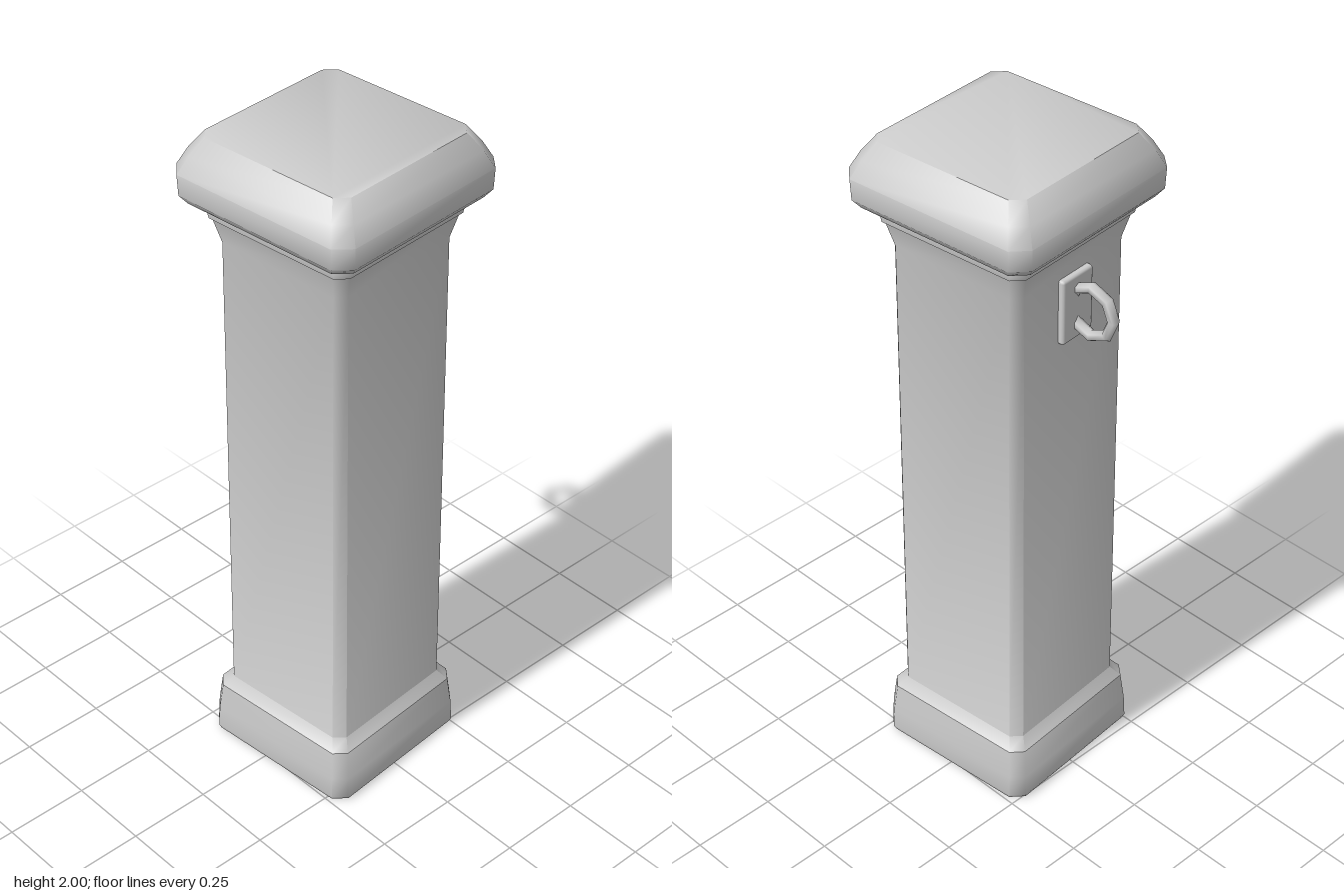
import * as THREE from 'three';
import { toCreasedNormals } from 'three/addons/utils/BufferGeometryUtils.js';
import { RoundedBoxGeometry } from 'three/addons/geometries/RoundedBoxGeometry.js';

// Square outline with cut corners: half width a, corner cut c
function ring([y, a, c]) {
  const b = a - c;
  return [[b, a], [a, b], [a, -b], [b, -a], [-b, -a], [-a, -b], [-a, b], [-b, a]]
    .map(([x, z]) => new THREE.Vector3(x, y, z));
}

// Closed loft through rings listed from bottom to top
function loft(profile, crease = 0.9) {
  const rings = profile.map(ring);
  const points = [];
  for (let k = 0; k < rings.length - 1; k++) {
    const lo = rings[k], hi = rings[k + 1];
    for (let i = 0; i < 8; i++) {
      const j = (i + 1) % 8;
      points.push(lo[i], lo[j], hi[j], lo[i], hi[j], hi[i]);
    }
  }
  const bottom = rings[0], top = rings[rings.length - 1];
  for (let i = 1; i < 7; i++) {
    points.push(bottom[0], bottom[i + 1], bottom[i], top[0], top[i], top[i + 1]);
  }
  return toCreasedNormals(new THREE.BufferGeometry().setFromPoints(points), crease);
}

export function createModel() {
  const stone = new THREE.MeshStandardMaterial({ color: 0xcccccc });
  stone.name = 'pale grey';

  const model = new THREE.Group();
  model.name = 'post';
  const add = (name, geometry, x = 0, y = 0, z = 0) => {
    const mesh = new THREE.Mesh(geometry, stone);
    mesh.name = name;
    mesh.position.set(x, y, z);
    model.add(mesh);
  };

  // Plinth, slightly wider at the ground
  add('base', loft([
    [0, 0.257, 0.034], [0.012, 0.262, 0.034], [0.08, 0.259, 0.033], [0.168, 0.25, 0.032],
  ]));

  // Shaft, smoothly flared at both ends
  add('shaft', loft([
    [0.168, 0.25, 0.032], [0.2, 0.225, 0.028], [1.69, 0.222, 0.027], [1.765, 0.241, 0.03],
  ]));

  // Collar under the cap
  add('collar', loft([
    [1.765, 0.247, 0.03], [1.778, 0.249, 0.03], [1.82, 0.249, 0.03],
  ]));

  // Bevelled cap
  add('cap', loft([
    [1.813, 0.287, 0.038], [1.838, 0.306, 0.042], [1.9, 0.3085, 0.0425],
    [1.95, 0.284, 0.038], [2, 0.25, 0.032],
  ]));

  // Wall plate and ring on one side
  add('ringPlate', new RoundedBoxGeometry(0.03, 0.195, 0.12, 1, 0.008), -0.225, 1.58, 0);
  add('ring', new THREE.TorusGeometry(0.073, 0.017, 6, 8), -0.284, 1.58, 0);

  // The post stands slightly turned
  model.rotation.y = 0.086;
  model.position.x = 0.02;

  const root = new THREE.Group();
  root.name = 'mooringPost';
  root.add(model);
  return root;
}
